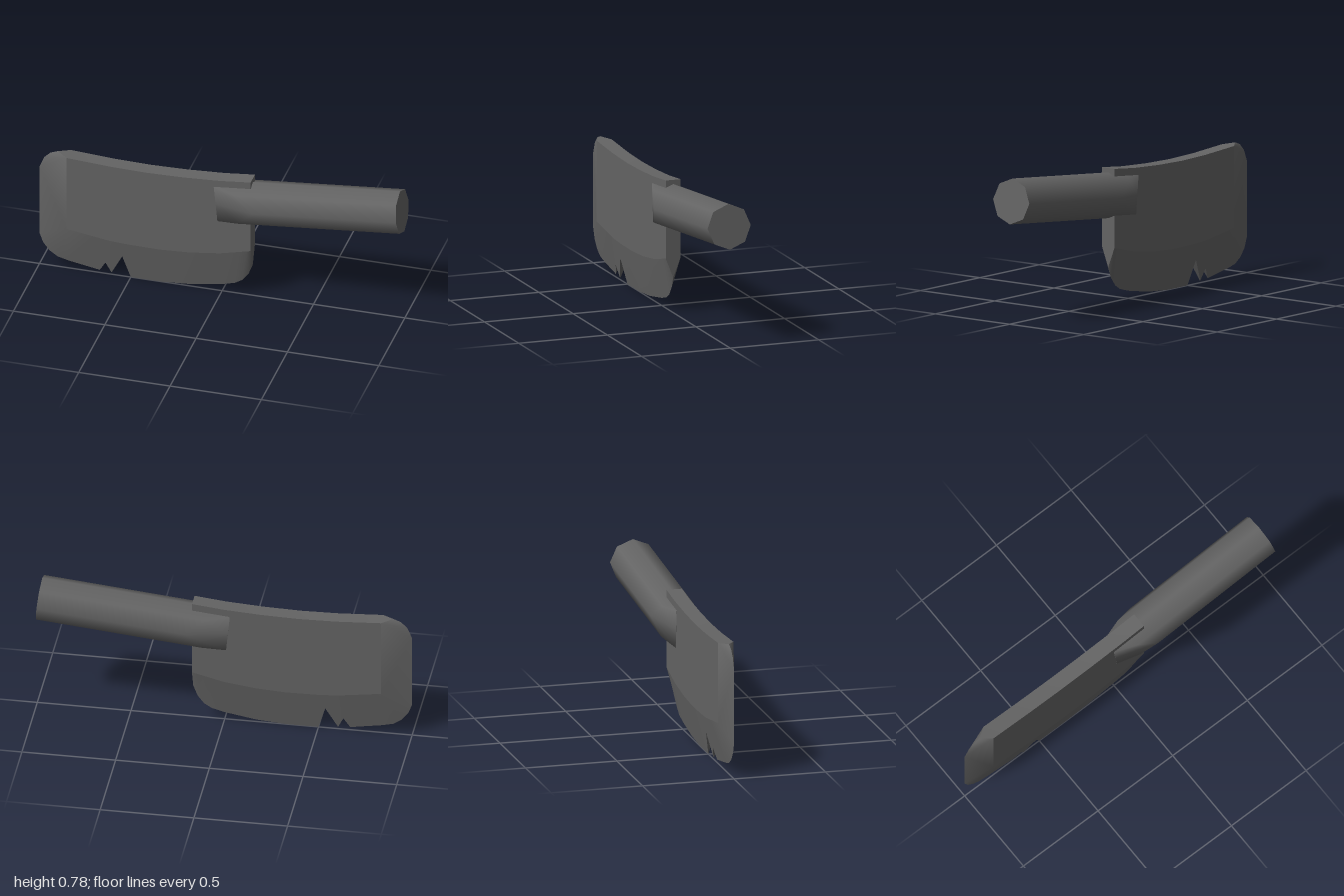
import * as THREE from 'three';
import { mergeGeometries, toCreasedNormals } from 'three/addons/utils/BufferGeometryUtils.js';

const T = 0.042;              // half thickness of the blade
const LEFT = -0.84;           // where the bevel of the blunt nose starts
const NOSE_TOP = 0.703;       // spine height there

// Height of the line where the cutting bevel begins
const BEVEL = [[-0.84, 0.265], [-0.6, 0.23], [-0.4, 0.22], [-0.2, 0.228], [0, 0.255], [0.168, 0.297]];
function bevelY(x) {
  const i = Math.max(1, BEVEL.findIndex(([bx]) => x <= bx));
  const [x0, y0] = BEVEL[i - 1], [x1, y1] = BEVEL[i];
  return THREE.MathUtils.mapLinear(x, x0, x1, y0, y1);
}

// Spine of the blade, at full thickness
const SPINE = [[0.168, 0.72], [0, 0.702], [-0.2, 0.69], [-0.4, 0.685], [-0.6, 0.689], [LEFT, NOSE_TOP]];

// Sharp outline from the nose, down and along the cutting edge; third value is half thickness
const EDGE = [
  [-0.9, 0.71, 0], [-0.94, 0.695, 0], [-0.975, 0.66, 0], [-1, 0.6, 0],
  [-1, 0.19, 0], [-0.98, 0.135, 0], [-0.945, 0.09, 0], [-0.9, 0.06, 0], [-0.84, 0.045, 0],
  [-0.67, 0.016, 0], [-0.635, 0.075, 0.014], [-0.605, 0.012, 0.002], [-0.54, 0.135, 0.025], [-0.5, 0, 0],
  [-0.33, 0, 0], [-0.17, 0.012, 0], [0, 0.041, 0], [0.07, 0.06, 0],
  [0.11, 0.085, 0], [0.145, 0.13, 0], [0.168, 0.19, 0],
];

function bladeGeometry() {
  const bevels = [], flats = [];
  const tri = (list, a, b, c) => list.push(...a, ...b, ...c);
  const back = ([x, y, z]) => [x, y, -z];
  const both = (list, a, b, c) => { tri(list, a, b, c); tri(list, back(c), back(b), back(a)); };

  // Inner end of the bevel for each point of the sharp outline
  const inner = EDGE.map(([x, y]) => x < LEFT
    ? [LEFT, y > 0.5 ? NOSE_TOP : bevelY(LEFT), T]
    : [x, bevelY(x), T]);

  // Bevels, skipping the collapsed side of each corner fan
  for (let i = 0; i < EDGE.length - 1; i++) {
    both(bevels, EDGE[i], EDGE[i + 1], inner[i + 1]);
    if (inner[i].some((v, k) => v !== inner[i + 1][k])) both(bevels, EDGE[i], inner[i + 1], inner[i]);
  }

  // Flat cheeks
  const spine = SPINE.map(([x, y]) => [x, y, T]);
  const cheek = [...inner, ...spine.slice(0, -1)]
    .filter((p, i, all) => i === 0 || p[0] !== all[i - 1][0] || p[1] !== all[i - 1][1]);
  const outline = cheek.map(([x, y]) => new THREE.Vector2(x, y));
  for (const [a, b, c] of THREE.ShapeUtils.triangulateShape(outline, [])) {
    both(flats, cheek[a], cheek[b], cheek[c]);
  }

  // Walls around the rim: spine, notches and butt
  const rim = [...EDGE, inner[inner.length - 1], ...spine];
  rim.forEach((p, i) => {
    const q = rim[(i + 1) % rim.length];
    if (p[2] > 0) tri(flats, p, back(p), back(q));
    if (q[2] > 0) tri(flats, p, back(q), q);
  });

  // Bevels blend softly into each other, the rest keeps its edges
  const build = (list, crease) => {
    const g = new THREE.BufferGeometry();
    g.setAttribute('position', new THREE.Float32BufferAttribute(list, 3));
    return toCreasedNormals(g, crease);
  };
  return mergeGeometries([build(bevels, 1), build(flats, 0.3)]);
}

function handleGeometry() {
  const length = 1.014, r = 0.122;
  const g = new THREE.CylinderGeometry(r, r, length, 8, 2);
  g.rotateZ(-Math.PI / 2).translate(length / 2, 0, 0);
  const p = g.attributes.position;
  // Slice both sides by a slanting plane that meets the cheeks at the end
  for (let i = 0; i < p.count; i++) {
    const x = p.getX(i), y = p.getY(i), z = p.getZ(i);
    const slope = 0.226 / (r - T);
    if (Math.abs(x - length / 2) < 0.01) p.setX(i, Math.max(0.06, (Math.abs(z) - T) * slope));
    if (x < 0.01 && Math.abs(z) > 0.01) {
      p.setZ(i, Math.sign(z) * (T + 0.001));
      if (Math.abs(y) > 0.01) p.setY(i, Math.sign(y) * 0.104);
    }
  }
  return g;
}

export function createModel() {
  const group = new THREE.Group();
  const material = new THREE.MeshStandardMaterial({ color: 0x646464 });

  const blade = new THREE.Mesh(bladeGeometry(), material);
  blade.name = 'blade';

  const handle = new THREE.Mesh(handleGeometry(), material);
  handle.name = 'handle';
  handle.position.set(-0.024, 0.556, 0);
  handle.rotation.z = 0.097;

  group.add(blade, handle);
  return group;
}
